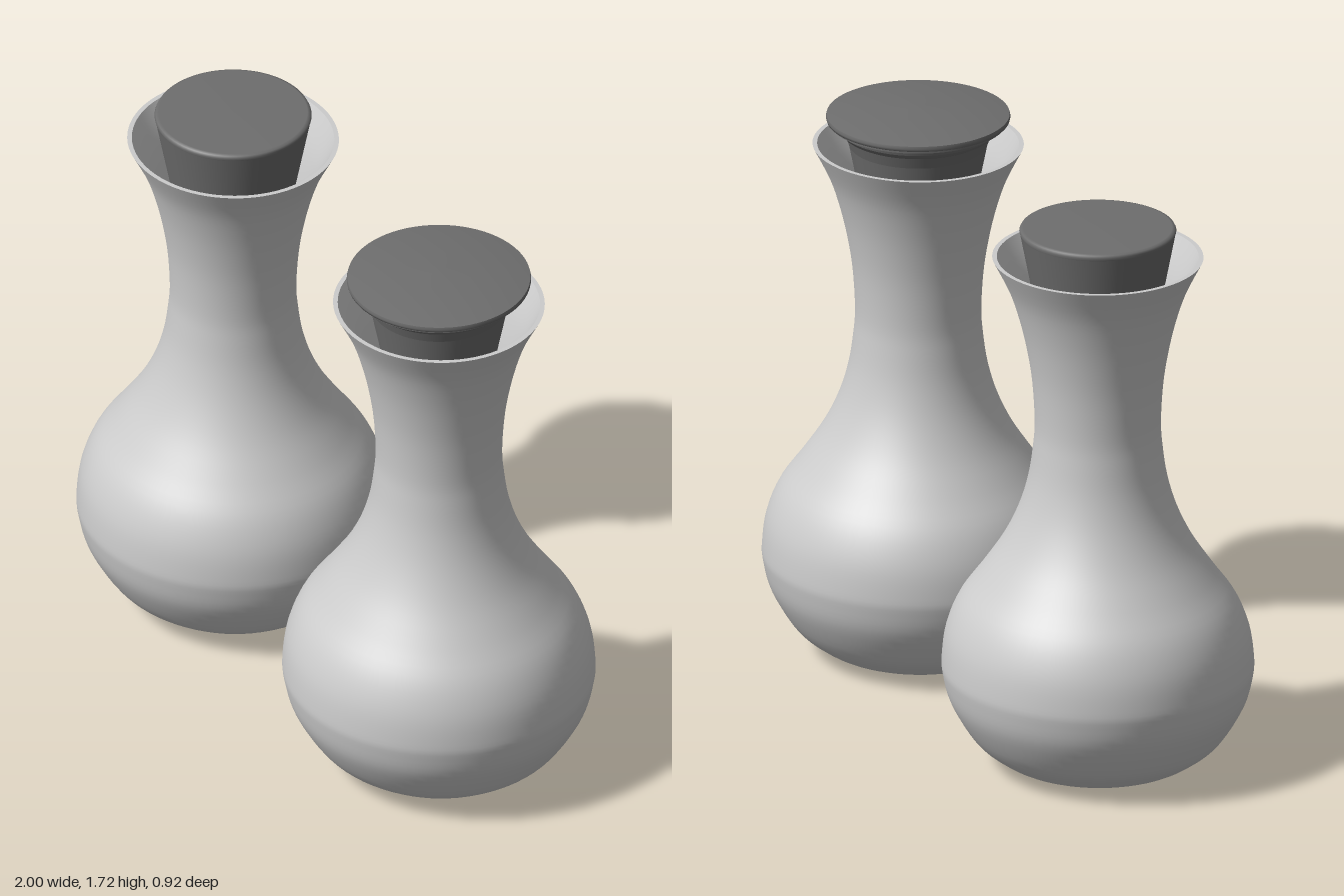
import * as THREE from 'three';

const v2 = ([r, y]) => new THREE.Vector2(r, y);

// Outer carafe profile, from base centre to lip
const OUTER = [
  [0, 0], [0.2, 0.003], [0.27, 0.016], [0.33, 0.05], [0.385, 0.1], [0.445, 0.2], [0.467, 0.28],
  [0.47, 0.33], [0.457, 0.42], [0.42, 0.51], [0.355, 0.6], [0.288, 0.7], [0.24, 0.8], [0.21, 0.9],
  [0.195, 1], [0.19, 1.08], [0.197, 1.2], [0.212, 1.3], [0.235, 1.4], [0.268, 1.5], [0.318, 1.6],
].map(v2);

// Lathe made of separate bands, so that the edges between bands stay sharp
function turned(name, bands, material) {
  const group = new THREE.Group();
  group.name = name;
  bands.forEach((band, i) => {
    const mesh = new THREE.Mesh(new THREE.LatheGeometry(band, 72), material);
    mesh.name = `${name}Band${i + 1}`;
    group.add(mesh);
  });
  return group;
}

// Straight-sided profile: one band per segment
const segments = (points) => points.slice(1).map((p, i) => [v2(points[i]), v2(p)]);

function carafe(material) {
  const outer = new THREE.SplineCurve(OUTER).getPoints(80);
  outer[0].x = 0;
  // Inner wall follows the outer one at a small thickness
  const inner = outer
    .filter((p) => p.y > 0.03)
    .map((p) => new THREE.Vector2(p.x - 0.014, p.y))
    .reverse();
  inner.push(new THREE.Vector2(0.2, 0.025), new THREE.Vector2(0, 0.02));
  const lip = [outer[outer.length - 1], inner[0]];
  const group = turned('carafe', [outer, lip, inner], material);
  group.scale.z = 0.978;
  return group;
}

export function createModel() {
  const model = new THREE.Group();
  const glass = new THREE.MeshStandardMaterial({ color: 0xcccccc });
  glass.name = 'pale grey';
  const dark = new THREE.MeshStandardMaterial({ color: 0x6e6e6e });
  dark.name = 'dark grey';

  // Plain tapered stopper with a softened top edge
  const plainStopper = turned('plainStopper', [
    ...segments([[0, 1.25], [0.148, 1.25], [0.23, 1.675]]),
    [[0.23, 1.675], [0.2325, 1.684], [0.229, 1.691], [0.22, 1.694], [0, 1.695]].map(v2),
  ], dark);

  // Tapered plug with stepped collar and a shallow domed cap
  const cappedStopper = turned('cappedStopper', [
    ...segments([
      [0, 1.25], [0.135, 1.25], [0.205, 1.6], [0.217, 1.635], [0.226, 1.64], [0.236, 1.652],
      [0.24, 1.665], [0.262, 1.67], [0.262, 1.676],
    ]),
    [[0.262, 1.676], [0.271, 1.679], [0.273, 1.687], [0.271, 1.695]].map(v2),
    [[0.271, 1.695], [0.2, 1.706], [0.1, 1.714], [0, 1.717]].map(v2),
  ], dark);

  // Two carafes side by side
  [[-0.529, plainStopper, 'rightCarafeSet'], [0.529, cappedStopper, 'leftCarafeSet']].forEach(
    ([x, stopper, name]) => {
      const set = new THREE.Group();
      set.name = name;
      set.add(carafe(glass), stopper);
      set.position.x = x;
      model.add(set);
    },
  );
  return model;
}
